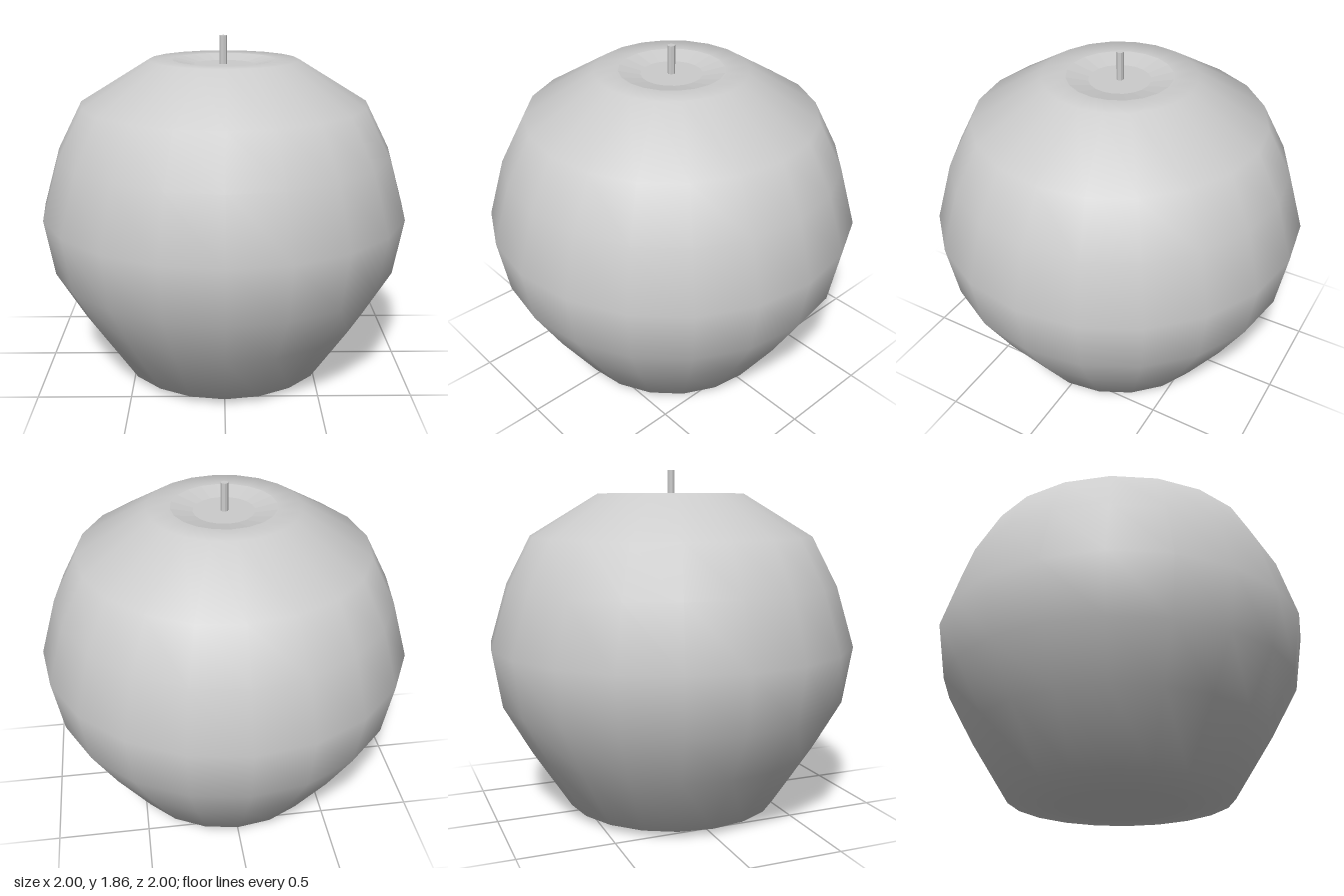
import * as THREE from 'three';

const SIDES = 20;

export function createModel() {
  const group = new THREE.Group();
  const smooth = new THREE.MeshStandardMaterial({ color: 0xcccccc });
  const faceted = new THREE.MeshStandardMaterial({ color: 0xcccccc, flatShading: true });

  const add = (name, geometry, material) => {
    const mesh = new THREE.Mesh(geometry, material);
    mesh.name = name;
    group.add(mesh);
    return mesh;
  };
  // Profiles run from bottom to top so the faces point outward
  const lathe = (points) =>
    new THREE.LatheGeometry(points.map(([r, y]) => new THREE.Vector2(r, y)), SIDES);

  // Fruit body, from the base to the rim of the dimple
  add('fruitBody', lathe([
    [0, 0], [0.28, 0], [0.59, 0.035], [0.8, 0.36], [0.95, 0.625], [1, 0.93],
    [0.905, 1.25], [0.77, 1.51], [0.4, 1.735], [0.275, 1.735],
  ]), smooth);

  // Shallow dimple around the stem
  add('stemDimple', lathe([[0.275, 1.735], [0.16, 1.71], [0, 1.71]]), faceted);

  // Stem
  const stem = add('stem', new THREE.CylinderGeometry(0.02, 0.02, 0.15, 8), faceted);
  stem.position.set(-0.003, 1.785, 0);

  return group;
}
